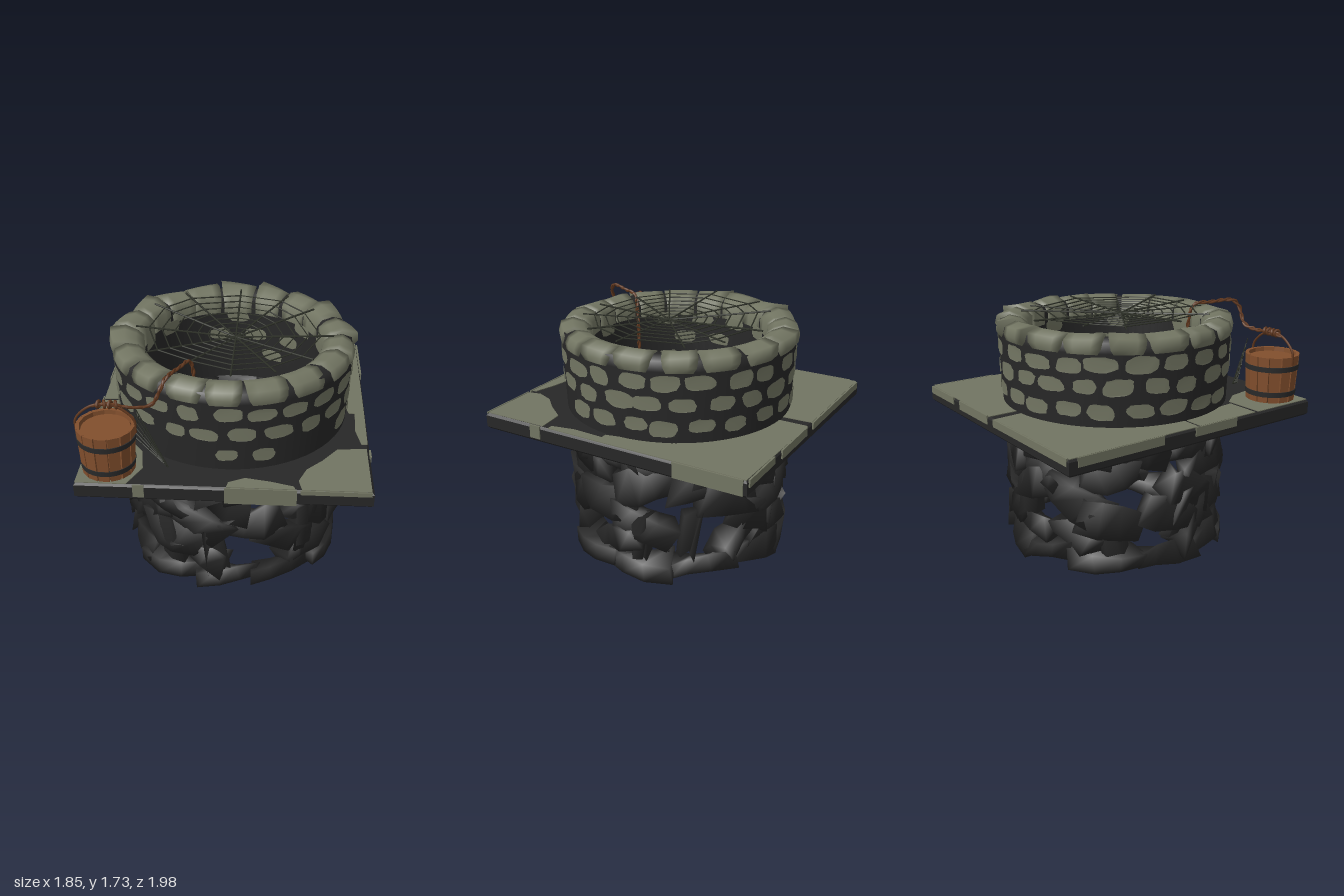
import * as THREE from 'three';
import { mergeGeometries, mergeVertices } from 'three/addons/utils/BufferGeometryUtils.js';

const V = (x, y, z) => new THREE.Vector3(x, y, z);
const mat = (name, color, side = THREE.FrontSide) => {
  const m = new THREE.MeshStandardMaterial({ color, side });
  m.name = name;
  return m;
};

export function createModel() {
  const root = new THREE.Group();
  const stone = mat('mossy stone', 0x727562, THREE.DoubleSide);
  const dark = mat('dark stone', 0x272727);
  const wood = mat('bucket wood', 0x824f2d);
  const woodDark = mat('dark wood', 0x4a2c19);
  const iron = mat('iron', 0x2b2b2b);
  const ropeMat = mat('rope', 0x63391f);
  const silk = mat('cobweb', 0x30332a);

  let seed = 11;
  const rnd = (a = 0, b = 1) => {
    seed = (seed * 16807) % 2147483647;
    return a + (b - a) * (seed / 2147483647);
  };
  const add = (name, geo, material, parent = root) => {
    const m = new THREE.Mesh(geo, material);
    m.name = name;
    parent.add(m);
    return m;
  };
  // Thin rod between two points
  const rod = (a, b, r) => {
    const d = b.clone().sub(a);
    const g = new THREE.CylinderGeometry(r, r, d.length(), 4, 1);
    g.applyQuaternion(new THREE.Quaternion().setFromUnitVectors(V(0, 1, 0), d.normalize()));
    const c = a.clone().add(b).multiplyScalar(0.5);
    return g.translate(c.x, c.y, c.z);
  };
  // Bend a flat (u = arc length, v = height, w = depth) geometry round the well
  const bend = (g, a, y, r) => {
    const p = g.attributes.position;
    for (let i = 0; i < p.count; i++) {
      const t = a + p.getX(i) / r, rr = r + p.getZ(i);
      p.setXYZ(i, Math.sin(t) * rr, y + p.getY(i), Math.cos(t) * rr);
    }
    g.computeVertexNormals();
    return g;
  };

  // Lower shaft: rows of bent, crooked, softly shaded stones with gaps
  const shaft = [];
  const crookedStone = (a, y, w, h, roll, thick = 0.13) => {
    const box = new THREE.BoxGeometry(w, h, thick, 3, 1, 1);
    box.deleteAttribute('normal');
    box.deleteAttribute('uv');
    const g = mergeVertices(box);
    const p = g.attributes.position, k = rnd(0, 50);
    for (let i = 0; i < p.count; i++) {
      const x = p.getX(i), yy = p.getY(i), z = p.getZ(i);
      const j = (n) => Math.sin(x * 37 + yy * 53 + z * 71 + k * n) * 0.035;
      p.setXYZ(i, x + j(1.3), yy + j(2.1), z + j(3.7) * 0.9);
    }
    g.rotateZ(roll);
    shaft.push(bend(g, a, y, 0.69));
  };
  // [height, stone height, share of gaps, tilt]
  [[0.11, 0.13, 0, 0.1], [0.26, 0.14, 0.45, 0.6], [0.4, 0.18, 0.3, 0.6],
    [0.56, 0.18, 0.28, 0.6], [0.71, 0.18, 0.2, 0.5], [0.85, 0.15, 0, 0.15]].forEach(([y, h, skip, roll], row) => {
    const n = 11;
    let lastGap = false;
    for (let i = 0; i < n; i++) {
      const gap = !lastGap && rnd() < skip * 1.35;
      const a = ((i + (row % 2) / 2 + rnd(-0.1, 0.1)) / n) * Math.PI * 2;
      const w = skip ? rnd(0.32, 0.44) : rnd(0.42, 0.5), hh = h * rnd(0.85, 1.2), tilt = rnd(-roll, roll);
      if (!gap) crookedStone(a, y + rnd(-0.015, 0.015), w, hh, tilt);
      lastGap = gap;
    }
  });
  // A few upright stones tie the rows together
  for (let i = 0; i < 8; i++) crookedStone(i * 0.785 + rnd(-0.2, 0.2), rnd(0.3, 0.5), 0.13, 0.34, rnd(-0.5, 0.5), 0.1);
  add('shaftStones', mergeGeometries(shaft), dark);

  // Square slab with a round opening
  const poly = (pts) => new THREE.Shape(pts.map(([x, z]) => new THREE.Vector2(x, z)));
  const slab = poly([[-0.907, -0.975], [0.905, -0.96], [0.89, 0.965], [-0.907, 0.965]]);
  slab.holes.push(new THREE.Path().absarc(0, 0, 0.625, 0, Math.PI * 2));
  add('slab', new THREE.ExtrudeGeometry(slab, { depth: 0.08, bevelThickness: 0.015, bevelSize: 0.015, bevelSegments: 1, curveSegments: 24 })
    .rotateX(Math.PI / 2).translate(0, 1.04, 0), dark);

  // Stone faces on the slab top, leaving dark joints
  const topFaces = [
    [[-0.915, -0.98], [-0.04, -0.98], [-0.03, -0.74], [-0.4, -0.66], [-0.72, -0.3], [-0.76, -0.02], [-0.915, -0.02]],
    [[-0.915, 0.0], [-0.76, 0.0], [-0.7, 0.3], [-0.68, 0.475], [-0.915, 0.475]],
    [[-0.915, 0.505], [-0.64, 0.5], [-0.55, 0.62], [-0.52, 0.8], [-0.6, 0.97], [-0.915, 0.97]],
    [[0.03, -0.98], [0.91, -0.965], [0.905, 0.08], [0.8, 0.08], [0.76, -0.1], [0.7, -0.35], [0.45, -0.62], [0.03, -0.74]],
    [[0.84, 0.08], [0.905, 0.08], [0.9, 0.46], [0.86, 0.46], [0.83, 0.3]],
    [[0.7, 0.53], [0.89, 0.51], [0.89, 0.97], [0.47, 0.97], [0.45, 0.88], [0.5, 0.76], [0.6, 0.66]],
    [[0.02, 0.92], [0.12, 0.87], [0.28, 0.9], [0.42, 0.94], [0.43, 0.97], [0.01, 0.97]],
  ];
  add('slabTopStones', mergeGeometries(topFaces.map((f) =>
    new THREE.ExtrudeGeometry(poly(f), { depth: 0.005, bevelEnabled: false }).rotateX(Math.PI / 2).translate(0, 1.06, 0))), stone);

  // Stone faces on the slab edges: [from, to, bottom]
  const edge = (x, z, w, d, y0) => new THREE.BoxGeometry(w, 1.06 - y0, d).translate(x, (y0 + 1.06) / 2, z);
  const edges = [];
  [[0, 0.44, 0.945], [0.46, 0.89, 1.03], [-0.56, -0.49, 0.97]].forEach(([a, b, y0]) =>
    edges.push(edge((a + b) / 2, 0.981, b - a, 0.008, y0)));
  [[-0.9, -0.04, 1.01], [0.05, 0.45, 1.0], [0.55, 0.9, 1.01]].forEach(([a, b, y0]) =>
    edges.push(edge((a + b) / 2, -0.984 + (a + b) * 0.004, b - a, 0.012, y0)));
  [[-0.95, -0.48, 0.955], [0.52, 0.6, 0.97]].forEach(([a, b, y0]) =>
    edges.push(edge(0.914 - (a + b) * 0.004, (a + b) / 2, 0.012, b - a, y0)));
  [[-0.93, -0.3, 1.0], [-0.05, 0.3, 1.0]].forEach(([a, b, y0]) =>
    edges.push(edge(-0.923, (a + b) / 2, 0.008, b - a, y0)));
  add('slabEdgeStones', mergeGeometries(edges), stone);

  // Upper ring wall, dark mortar
  const wallR = (y) => 0.78 + (y - 1.05) * 0.035;
  add('ringWall', new THREE.LatheGeometry([[0.605, 0.95], [0.78, 0.98], [0.78, 1.05], [0.797, 1.53], [0.785, 1.595],
    [0.72, 1.62], [0.64, 1.605], [0.605, 1.56], [0.605, 0.95]].map(([r, y]) => new THREE.Vector2(r, y)), 64), dark);

  // Rounded stone faces in rows, outside and inside the wall
  const patch = (a, y, w, h, r, out) => {
    const s = new THREE.Shape(), skew = rnd(-0.25, 0.25);
    for (let i = 0; i < 18; i++) {
      const t = (i / 18) * Math.PI * 2, c = Math.cos(t), q = Math.sin(t), k = rnd(0.92, 1.08);
      const v = Math.sign(q) * Math.abs(q) ** 0.7 * h * 0.5 * k;
      const x = Math.sign(c) * Math.abs(c) ** 0.7 * w * 0.5 * k + v * skew;
      i ? s.lineTo(x, v) : s.moveTo(x, v);
    }
    const g = new THREE.ShapeGeometry(s);
    if (!out) g.rotateY(Math.PI);
    return bend(g, a, y, r);
  };
  const outer = [], inner = [];
  [[1.455, 0.09], [1.315, 0.088], [1.165, 0.085]].forEach(([y, h], row) => {
    for (let i = 0; i < 22; i++) {
      const a = ((i + row * 0.5 + rnd(-0.12, 0.12)) / 22) * Math.PI * 2;
      const front = Math.cos(a) > 0.55, size = front ? 1 : 1.14;
      const w = rnd(0.13, 0.19) * size, skip = rnd();
      // The lowest row is buried in mortar along the front
      if (row === 2 && front && (Math.sin(a) < 0 || skip < 0.3)) continue;
      outer.push(patch(a, y + rnd(-0.012, 0.012), w, h * size * rnd(0.88, 1.15), wallR(y) + 0.008, true));
    }
    for (let i = 0; i < 14; i++)
      if (rnd() < 0.6) inner.push(patch(((i + row * 0.5) / 14) * Math.PI * 2, y, 0.16, h, 0.596, false));
  });
  add('wallStones', mergeGeometries(outer), stone);
  add('innerWallStones', mergeGeometries(inner), stone);

  // Rim stones: one cross-section swept over a short arc, flared and uneven
  const rim = [];
  for (let i = 0; i < 18; i++) {
    const a = (i / 18) * Math.PI * 2 + rnd(-0.025, 0.025), half = rnd(0.135, 0.165);
    const wild = Math.cos(a) < 0.3 ? 1 : 0.4;
    const ends = [rnd(-0.015, 0.01), rnd(0.02, 0.055) * wild];
    if (rnd() < 0.5) ends.reverse();
    const pos = [], idx = [], N = 4, M = 7;
    for (let s = 0; s <= N; s++) {
      const e = THREE.MathUtils.lerp(ends[0], ends[1], s / N), f = (s / N - 0.5) * 2 * half;
      [[0.597, 1.48, 1], [0.6, 1.58, 1.03], [0.645, 1.615, 1.06], [0.72, 1.635 + e * 0.3, 1.06], [0.785 + e, 1.605 + e * 0.7, 1],
        [0.807 + e * 0.6, 1.565, 0.9], [0.803, 1.525, 0.75]].forEach(([r, y, k]) => {
        const t = a + f * k;
        pos.push(Math.sin(t) * r, y, Math.cos(t) * r);
      });
      if (s < N) for (let j = 0; j < M - 1; j++) {
        const p = s * M + j;
        idx.push(p, p + M, p + 1, p + 1, p + M, p + M + 1);
      }
    }
    for (let j = 1; j < M - 1; j++) idx.push(0, j, j + 1, N * M, N * M + j + 1, N * M + j);
    const g = new THREE.BufferGeometry();
    g.setAttribute('position', new THREE.Float32BufferAttribute(pos, 3));
    g.setIndex(idx);
    g.computeVertexNormals();
    rim.push(g);
  }
  add('rimStones', mergeGeometries(rim), stone);

  // Cobweb across the mouth
  const hub = V(0.02, 1.615, 0.07), web = [];
  const tips = [[0.02, -0.63], [0.36, -0.53], [0.54, -0.35], [0.66, 0.07], [0.52, 0.39], [0.29, 0.59],
    [0.02, 0.64], [-0.27, 0.55], [-0.53, 0.39], [-0.64, 0.05], [-0.57, -0.33], [-0.37, -0.51]]
    .map(([x, z], i) => V(x, 1.645 - x * 0.02 + (i % 2) * 0.01, z));
  tips.forEach((t, i) => {
    const n = tips[(i + 1) % tips.length];
    web.push(rod(hub, t, 0.0065));
    [0.09, 0.18, 0.28, 0.38, 0.49, 0.61, 0.74, 0.87].forEach((f) =>
      web.push(rod(hub.clone().lerp(t, f), hub.clone().lerp(n, f), 0.0045)));
  });
  add('mouthCobweb', mergeGeometries(web), silk);

  // Small cobweb between bucket and wall
  const corner = V(-0.36, 1.07, 0.8), fan = [];
  const end = (k) => V(-0.55 - k * 0.014, 1.45 - k * 0.055, 0.74 - k * 0.03);
  for (let i = 0; i < 6; i++) {
    fan.push(rod(corner, end(i), 0.004));
    if (i < 5) [0.3, 0.5, 0.7, 0.9].forEach((f) =>
      fan.push(rod(corner.clone().lerp(end(i), f), corner.clone().lerp(end(i + 1), f), 0.003)));
  }
  add('cornerCobweb', mergeGeometries(fan), silk);

  // Bucket: flared staves, lining, recessed lid, iron bands
  const bucket = new THREE.Group();
  bucket.name = 'bucket';
  bucket.position.set(-0.73, 1.06, 0.8);
  root.add(bucket);
  const staves = [];
  for (let i = 0; i < 14; i++) {
    const g = new THREE.BoxGeometry(0.07, 0.315, 0.024);
    const p = g.attributes.position;
    for (let j = 0; j < p.count; j++) {
      const top = p.getY(j) > 0;
      p.setX(j, p.getX(j) * (top ? 1.06 : 0.92));
      p.setZ(j, p.getZ(j) + (top ? 0.168 : 0.151));
    }
    g.computeVertexNormals();
    staves.push(g.rotateY((i / 14) * Math.PI * 2).translate(0, 0.16, 0));
  }
  add('staves', mergeGeometries(staves), wood, bucket);
  add('lining', new THREE.CylinderGeometry(0.165, 0.15, 0.28, 28), woodDark, bucket).position.y = 0.145;
  add('lid', new THREE.CylinderGeometry(0.152, 0.152, 0.01, 28), wood, bucket).position.y = 0.287;
  [[0.235, 0.181], [0.06, 0.17]].forEach(([y, r]) =>
    add('band', new THREE.CylinderGeometry(r + 0.003, r, 0.035, 28), iron, bucket).position.y = y);
  const handle = new THREE.CatmullRomCurve3([V(-0.182, 0.26, 0), V(-0.178, 0.35, 0), V(-0.09, 0.435, 0), V(0, 0.455, 0),
    V(0.09, 0.435, 0), V(0.178, 0.35, 0), V(0.182, 0.26, 0)]);
  add('handle', new THREE.TubeGeometry(handle, 30, 0.008, 6), ropeMat, bucket);

  // Twisted rope: knotted on the handle, over the rim, hanging into the shaft
  const path = new THREE.CatmullRomCurve3([V(-0.8, 1.5, 0.8), V(-0.7, 1.52, 0.8), V(-0.56, 1.505, 0.81), V(-0.44, 1.53, 0.81),
    V(-0.38, 1.64, 0.81), V(-0.355, 1.685, 0.77), V(-0.29, 1.68, 0.62), V(-0.24, 1.665, 0.51), V(-0.22, 1.55, 0.48),
    V(-0.23, 1, 0.48), V(-0.22, 0.42, 0.48)]);
  for (const phase of [0, Math.PI]) {
    const pts = path.getSpacedPoints(150).map((p, i) =>
      p.add(V(Math.cos(i * 0.7 + phase), Math.sin(i * 0.7 + phase), Math.sin(i * 0.7 + phase)).multiplyScalar(0.006)));
    add('ropeStrand', new THREE.TubeGeometry(new THREE.CatmullRomCurve3(pts), 300, 0.0085, 5), ropeMat);
  }
  [-0.05, -0.015, 0.02, 0.055].forEach((x, i) => {
    const k = add('ropeKnot', new THREE.TorusGeometry(0.02, 0.01, 6, 12), ropeMat);
    k.position.set(-0.71 + x, 1.515, 0.8);
    k.rotation.y = Math.PI / 2 + (i % 2 ? 0.3 : -0.3);
  });
  return root;
}
